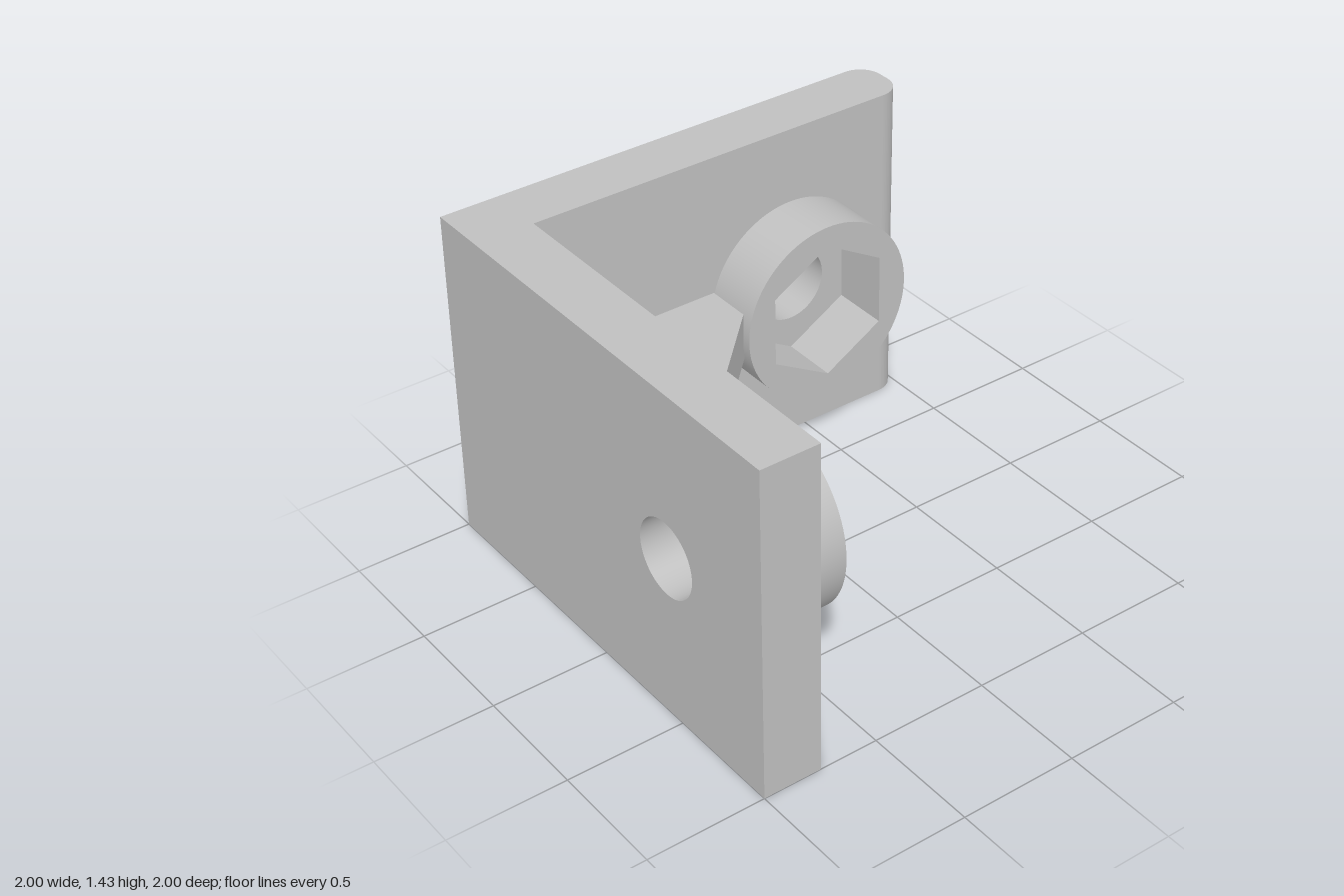
import * as THREE from 'three';
import { toCreasedNormals } from 'three/addons/utils/BufferGeometryUtils.js';

const HEIGHT = 1.43, MID = HEIGHT / 2;
const HOLE_U = 0.43;           // bolt axis along each plate
const HOLE_R = 0.16, BOSS_R = 0.39, HEX_R = 0.302;

export function createModel() {
  const group = new THREE.Group();
  const grey = new THREE.MeshStandardMaterial({ color: 0xc0c0c0 });
  grey.name = 'plain grey';

  const extrude = (shape, depth) => toCreasedNormals(
    new THREE.ExtrudeGeometry(shape, { depth, bevelEnabled: false, curveSegments: 48 }), 0.6);

  const add = (name, geometry) => {
    const mesh = new THREE.Mesh(geometry, grey);
    mesh.name = name;
    group.add(mesh);
  };

  const polygon = (points) => new THREE.Shape(points.map(([x, y]) => new THREE.Vector2(x, y)));
  const circle = (Type, r) => new Type().absarc(HOLE_U, MID, r, 0, Math.PI * 2, false);

  // Upright plate with a round bolt hole
  const plate = (u0, u1) => {
    const shape = polygon([[u0, 0], [u1, 0], [u1, HEIGHT], [u0, HEIGHT]]);
    shape.holes.push(circle(THREE.Path, HOLE_R));
    return extrude(shape, 0.25);
  };

  // Round boss with a hexagonal nut pocket, points up and down
  const boss = () => {
    const shape = circle(THREE.Shape, BOSS_R);
    const hex = [];
    for (let i = 0; i < 6; i++) {
      const a = Math.PI / 2 + i * Math.PI / 3;
      hex.push(new THREE.Vector2(HOLE_U + HEX_R * Math.cos(a), MID + HEX_R * Math.sin(a)));
    }
    shape.holes.push(new THREE.Path(hex));
    return extrude(shape, 0.25);
  };

  // Plan outline given as (x, -z), raised along y
  const fromPlan = (shape, y, height) =>
    extrude(shape, height).rotateX(-Math.PI / 2).translate(0, y, 0);

  // Front plate and its boss
  add('frontPlate', plate(-1, 1).translate(0, 0, 0.75));
  add('frontBoss', boss().translate(0, 0, 0.5));

  // Side plate and its boss, turned a quarter to run backwards
  add('sidePlate', plate(-0.75, 0.9).rotateY(Math.PI / 2).translate(-1, 0, 0));
  add('sideBoss', boss().rotateY(Math.PI / 2).translate(-0.75, 0, 0));

  // Rounded rear edge of the side plate
  const edge = new THREE.Shape();
  edge.moveTo(-1, 0.9);
  edge.lineTo(-0.75, 0.9);
  edge.absarc(-0.85, 0.9, 0.1, 0, Math.PI / 2, false);
  edge.absarc(-0.9, 0.9, 0.1, Math.PI / 2, Math.PI, false);
  add('roundedEdge', fromPlan(edge, 0, HEIGHT));

  // Gusset web bracing the two plates
  const web = polygon([[-0.75, -0.75], [0.05, -0.75], [0.05, -0.55], [-0.55, 0.05], [-0.75, 0.05]]);
  add('gussetWeb', fromPlan(web, 0.61, 0.21));

  return group;
}
